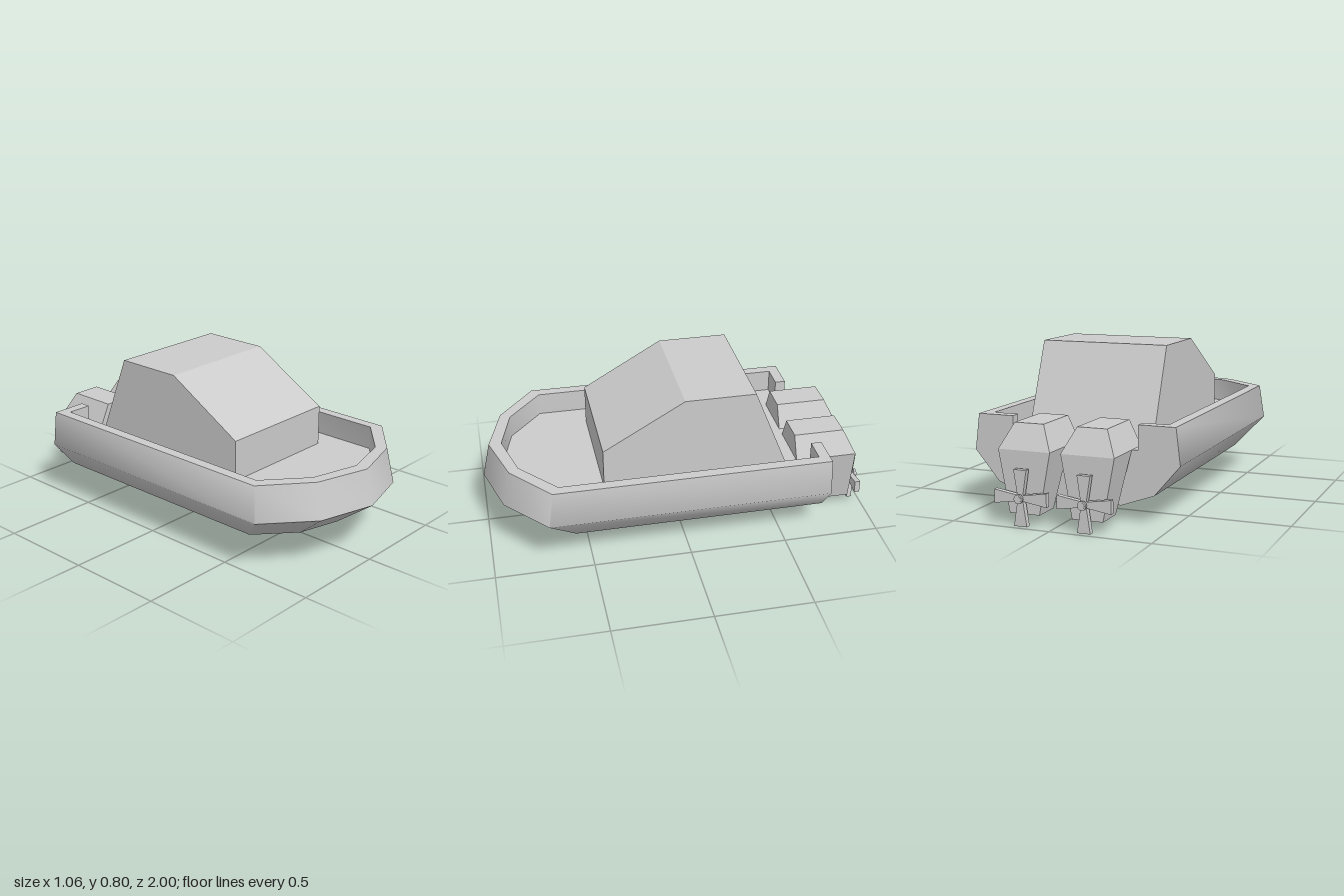
import * as THREE from 'three';
import { mergeGeometries, toCreasedNormals } from 'three/addons/utils/BufferGeometryUtils.js';

const material = new THREE.MeshStandardMaterial({ color: 0xcccccc });

function part(name, geometry, parent) {
  const mesh = new THREE.Mesh(geometry, material);
  mesh.name = name;
  parent.add(mesh);
  return mesh;
}

// Completes a half outline (+x side, ending on the centre line) with its mirror image
const mirrored = (half) => [...half, ...half.slice(0, -1).reverse().map(([x, z]) => [-x, z])];

// Wall between two outlines of equal length
function strip(lower, y0, upper, y1) {
  const pos = [];
  for (let i = 0; i < lower.length - 1; i++) {
    const a = [lower[i][0], y0, lower[i][1]], b = [lower[i + 1][0], y0, lower[i + 1][1]];
    const c = [upper[i + 1][0], y1, upper[i + 1][1]], d = [upper[i][0], y1, upper[i][1]];
    pos.push(...a, ...d, ...c, ...a, ...c, ...b);
  }
  const g = new THREE.BufferGeometry();
  g.setAttribute('position', new THREE.Float32BufferAttribute(pos, 3));
  return g;
}

// Flat panel from a list of 2D points
function panel(points) {
  const shape = new THREE.Shape(points.map(([x, y]) => new THREE.Vector2(x, y)));
  const g = new THREE.ShapeGeometry(shape).toNonIndexed();
  g.deleteAttribute('uv');
  g.deleteAttribute('normal');
  return g;
}
const facingUp = (points, y) =>
  panel(points.map(([x, z]) => [x, -z])).rotateX(-Math.PI / 2).translate(0, y, 0);

// Box whose bottom and top are given as [y, half width, back z, front z]
function taperedBox(bottom, top) {
  const g = new THREE.BoxGeometry(1, 1, 1);
  const p = g.attributes.position;
  for (let i = 0; i < p.count; i++) {
    const [y, w, back, front] = p.getY(i) > 0 ? top : bottom;
    p.setXYZ(i, Math.sign(p.getX(i)) * w, y, p.getZ(i) > 0 ? front : back);
  }
  g.computeVertexNormals();
  return g;
}

function hullGeometry() {
  const stern = -0.72, floorY = 0.35, rimY = 0.47;
  // Outlines from keel to rim: height, then stern, shoulder, bow and stem points
  const levels = [
    [0.08, [[0.24, stern], [0.24, 0.38], [0.13, 0.46], [0, 0.49]]],
    [0.14, [[0.405, stern], [0.405, 0.575], [0.22, 0.74], [0, 0.8]]],
    [0.29, [[0.532, stern], [0.532, 0.715], [0.295, 0.92], [0, 1]]],
    [rimY, [[0.51, stern], [0.51, 0.69], [0.28, 0.88], [0, 0.96]]],
  ].map(([y, half]) => [y, mirrored(half)]);
  // Inside of the bulwark, open at the stern
  const inner = mirrored([[0.325, stern], [0.325, -0.665], [0.455, -0.665],
    [0.455, 0.655], [0.25, 0.83], [0, 0.895]]);
  const pieces = [];
  for (let i = 0; i < 3; i++) {
    pieces.push(strip(levels[i][1], levels[i][0], levels[i + 1][1], levels[i + 1][0]));
  }
  // Bottom, rim, inner wall, deck and notched transom
  pieces.push(panel(levels[0][1]).rotateX(Math.PI / 2).translate(0, 0.08, 0));
  pieces.push(facingUp([...levels[3][1], ...[...inner].reverse()], rimY));
  pieces.push(strip(inner, rimY, inner, floorY));
  pieces.push(facingUp(inner, floorY));
  const side = [...levels.map(([y, loop]) => [loop[0][0], y]), [0.325, rimY], [0.325, floorY]];
  const transom = [...side, ...[...side].reverse().map(([x, y]) => [-x, y])];
  pieces.push(panel(transom).rotateY(Math.PI).translate(0, 0, stern));
  return toCreasedNormals(mergeGeometries(pieces), 0.9);
}

function cabinGeometry() {
  const profile = new THREE.Shape([[0.415, 0.35], [0.415, 0.56], [0, 0.8], [-0.36, 0.8], [-0.542, 0.35]]
    .map(([z, y]) => new THREE.Vector2(z, y)));
  return new THREE.ExtrudeGeometry(profile, { depth: 0.66, bevelEnabled: false })
    .rotateY(-Math.PI / 2).translate(0.33, 0, 0);
}

function createEngine() {
  const engine = new THREE.Group();
  part('engineCover', taperedBox([0.35, 0.133, -0.928, -0.605], [0.47, 0.075, -0.87, -0.605]), engine);
  part('engineLeg', taperedBox([0.05, 0.077, -0.928, -0.78], [0.35, 0.133, -0.928, -0.72]), engine);

  // Four-bladed propeller on a short shaft
  const propeller = new THREE.Group();
  propeller.name = 'propeller';
  propeller.position.set(0, 0.135, -0.957);
  engine.add(propeller);
  for (let i = 0; i < 4; i++) {
    const blade = part('blade', taperedBox([0, 0.012, -0.014, 0.014], [0.134, 0.033, -0.014, 0.014]), propeller);
    blade.rotation.z = i * Math.PI / 2;
  }
  const shaft = part('shaft', new THREE.CylinderGeometry(0.015, 0.015, 0.07, 12).rotateX(Math.PI / 2), propeller);
  shaft.position.z = -0.003;
  const nut = part('shaftNut', new THREE.CylinderGeometry(0.022, 0.022, 0.012, 12).rotateX(Math.PI / 2), propeller);
  nut.position.z = -0.03;
  return engine;
}

export function createModel() {
  const boat = new THREE.Group();
  boat.name = 'motorBoat';
  part('hull', hullGeometry(), boat);
  part('cabin', cabinGeometry(), boat);
  for (const s of [1, -1]) {
    const engine = createEngine();
    engine.name = s > 0 ? 'leftEngine' : 'rightEngine';
    engine.position.x = s * 0.16;
    boat.add(engine);
  }
  return boat;
}
